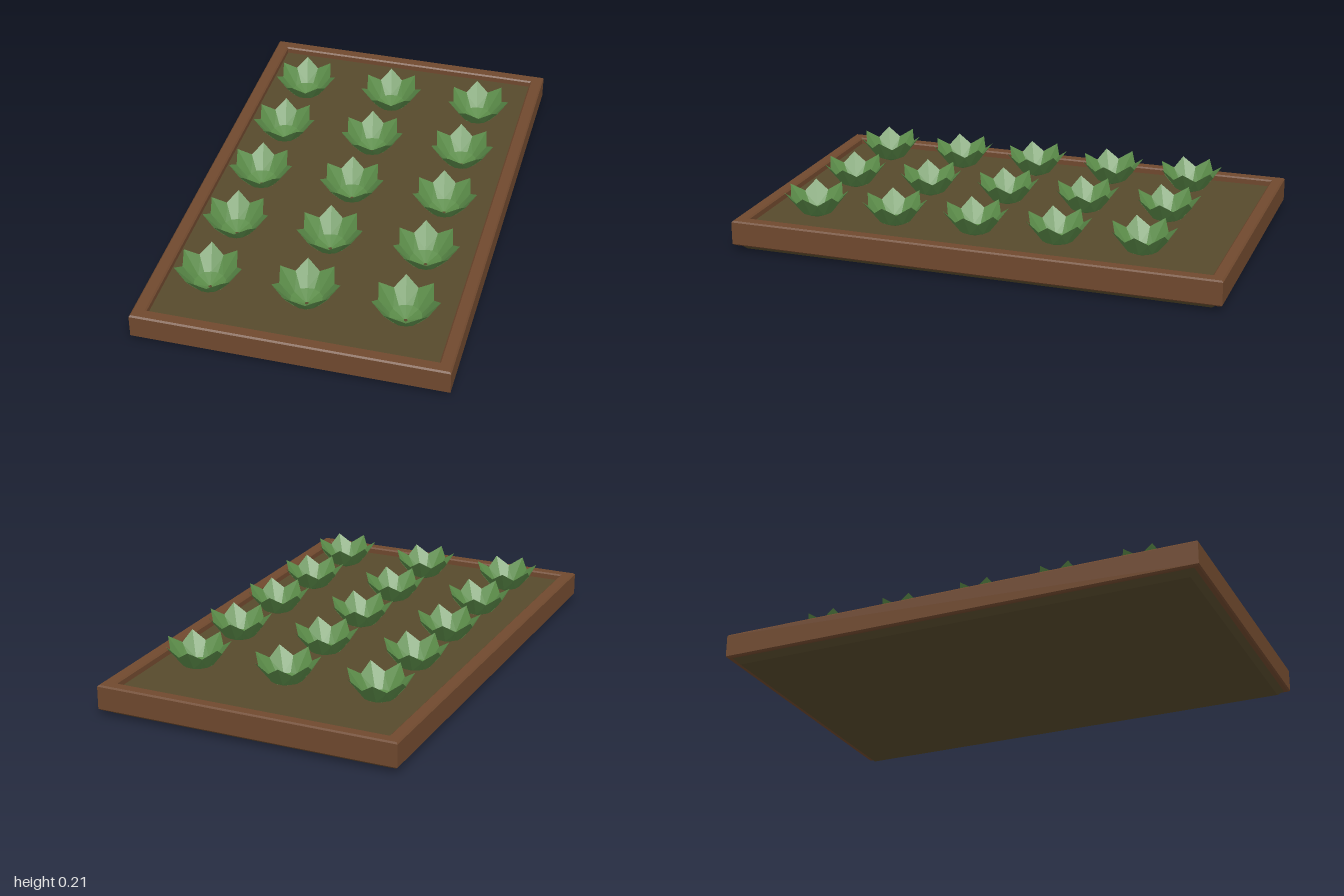
import * as THREE from 'three';

const wood = new THREE.MeshStandardMaterial({ name: 'wood', color: 0x70492e });
const soil = new THREE.MeshStandardMaterial({ name: 'soil', color: 0x574a2c });
const leaf = new THREE.MeshStandardMaterial({ name: 'leaf', color: 0x5b8c49 });
leaf.side = THREE.DoubleSide;
leaf.flatShading = true;

function rectangle(Type, x, z) {
  return new Type([[-x, -z], [x, -z], [x, z], [-x, z]].map(p => new THREE.Vector2(...p)));
}

// Rectangular wooden rim with a slim bevel
function makeFrame() {
  const shape = rectangle(THREE.Shape, 0.619, 0.996);
  shape.holes.push(rectangle(THREE.Path, 0.565, 0.945));
  const geometry = new THREE.ExtrudeGeometry(shape, {
    depth: 0.091, bevelThickness: 0.006, bevelSize: 0.006, bevelOffset: -0.006, bevelSegments: 1,
  });
  geometry.rotateX(-Math.PI / 2).translate(0, 0.028, 0);
  return new THREE.Mesh(geometry, wood);
}

// Underside slab, narrower at the ground
function makeBase() {
  const geometry = new THREE.BoxGeometry(1.21, 0.024, 1.95);
  const p = geometry.attributes.position;
  for (let i = 0; i < p.count; i++) {
    if (p.getY(i) < 0) p.setXYZ(i, Math.sign(p.getX(i)) * 0.58, p.getY(i), Math.sign(p.getZ(i)) * 0.95);
  }
  geometry.translate(0, 0.012, 0).computeVertexNormals();
  return new THREE.Mesh(geometry, soil);
}

// One folded leaf pointing along +x: root, two lower corners, two shoulders, midrib and tip
function makeLeafGeometry() {
  const points = [
    [0, 0.095, 0],
    [0.055, 0.122, 0.033], [0.055, 0.122, -0.033],
    [0.094, 0.174, 0.05], [0.094, 0.174, -0.05],
    [0.062, 0.12, 0], [0.133, 0.213, 0],
  ];
  const geometry = new THREE.BufferGeometry();
  geometry.setAttribute('position', new THREE.Float32BufferAttribute(points.flat(), 3));
  geometry.setIndex([0, 1, 5, 0, 5, 2, 5, 1, 3, 5, 4, 2, 5, 3, 6, 5, 6, 4]);
  const flat = geometry.toNonIndexed();
  flat.computeVertexNormals();
  return flat;
}

export function createModel() {
  const model = new THREE.Group();
  model.name = 'planterBed';

  const frame = makeFrame();
  frame.name = 'woodenFrame';
  const base = makeBase();
  base.name = 'base';
  const bed = new THREE.Mesh(new THREE.BoxGeometry(1.15, 0.077, 1.91), soil);
  bed.position.y = 0.0595;
  bed.name = 'soilBed';
  model.add(frame, base, bed);

  // Three columns and five rows of seven-leaved plants
  const leafGeometry = makeLeafGeometry();
  for (let column = -1; column <= 1; column++) {
    for (let row = -2; row <= 2; row++) {
      const plant = new THREE.Group();
      plant.name = 'plant';
      plant.position.set(column * 0.387, 0, 0.047 + row * 0.34);
      for (let i = 0; i < 7; i++) {
        const blade = new THREE.Mesh(leafGeometry, leaf);
        blade.name = 'leaf';
        blade.rotation.y = (i / 7) * Math.PI * 2;
        plant.add(blade);
      }
      model.add(plant);
    }
  }
  return model;
}
